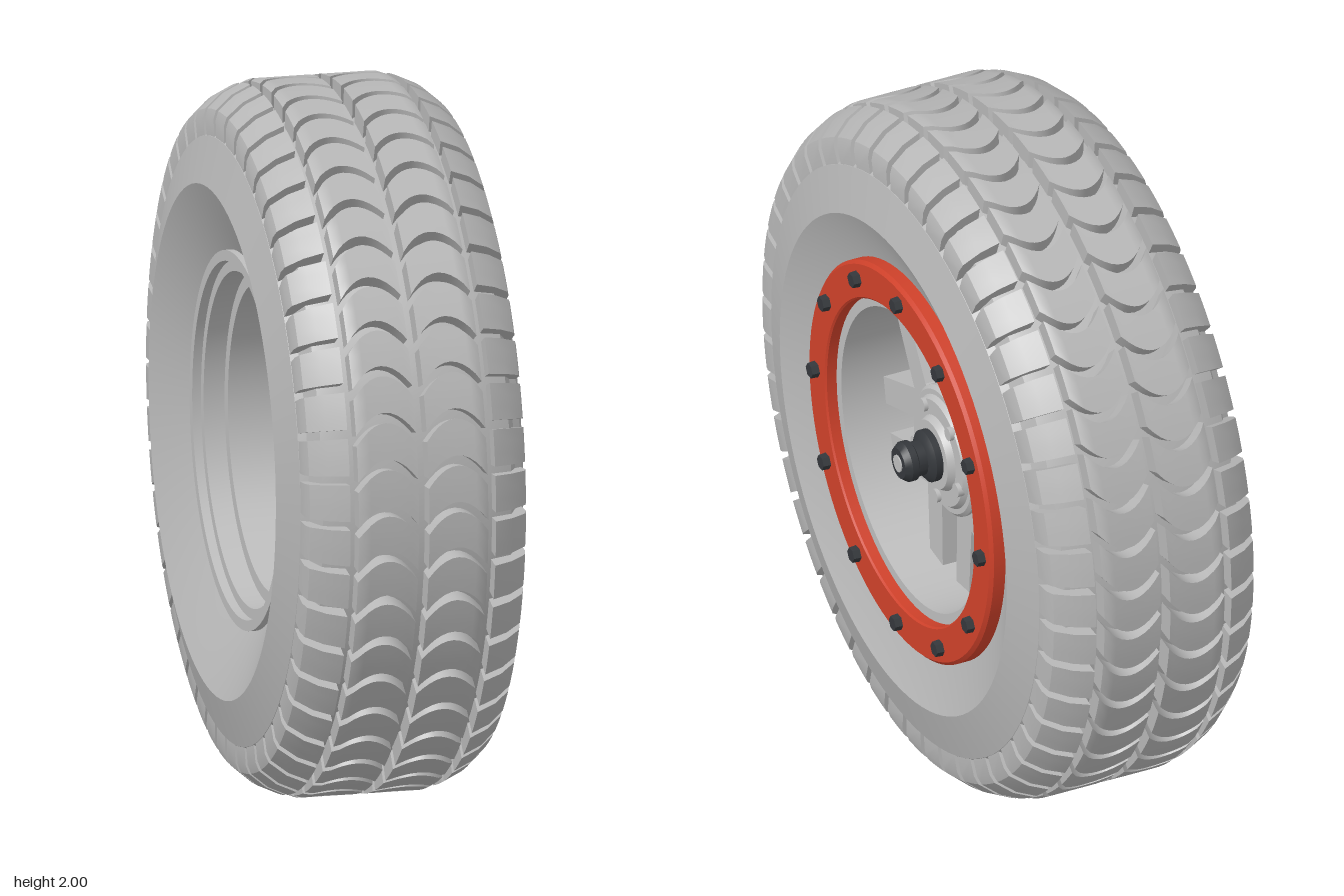
import * as THREE from 'three';
import { mergeGeometries, toCreasedNormals } from 'three/addons/utils/BufferGeometryUtils.js';

const mat = (name, color) => new THREE.MeshStandardMaterial({ name, color });

// Lathe around the x axle; profile is [radius, x] pairs, outer side running towards +x
function turned(profile, segments = 96) {
  const pts = profile.map(([r, x]) => new THREE.Vector2(r, x));
  const g = new THREE.LatheGeometry(pts, segments).rotateZ(-Math.PI / 2);
  return toCreasedNormals(g, 0.35);
}

// One tread block: cross-sections along x, each a loop from floor to outer surface and back
function treadBlock(xs, outer, floor, bend, arc) {
  const pos = [], idx = [], arcSteps = 3, n = arcSteps + 3;
  xs.forEach((x, i) => {
    const a0 = bend[i], a1 = a0 + arc;
    const loop = [[floor[i], a0]];
    for (let k = 0; k <= arcSteps; k++) loop.push([outer[i], a0 + (arc * k) / arcSteps]);
    loop.push([floor[i], a1]);
    loop.forEach(([r, a]) => pos.push(x, r * Math.sin(a), r * Math.cos(a)));
  });
  for (let i = 0; i < xs.length - 1; i++) {
    for (let k = 0; k < n; k++) {
      const p0 = i * n + k, p1 = i * n + ((k + 1) % n), q0 = p0 + n, q1 = p1 + n;
      idx.push(p0, q0, p1, p1, q0, q1);
    }
  }
  const last = (xs.length - 1) * n;
  for (let k = 1; k < n - 1; k++) {
    idx.push(0, k, k + 1, last, last + k + 1, last + k);
  }
  const g = new THREE.BufferGeometry();
  g.setAttribute('position', new THREE.Float32BufferAttribute(pos, 3));
  g.setIndex(idx);
  return toCreasedNormals(g, 0.5);
}

function around(geometry, count) {
  const list = [];
  for (let i = 0; i < count; i++) list.push(geometry.clone().rotateX((i * Math.PI * 2) / count));
  return mergeGeometries(list);
}

export function createModel() {
  const rubber = mat('tyreGrey', 0xb6b6b6);
  const metal = mat('rimGrey', 0xbdbdbd);
  const red = mat('ringRed', 0xcf412a);
  const dark = mat('boltDark', 0x34373b);

  const model = new THREE.Group();
  model.name = 'wheel';
  const wheel = new THREE.Group();
  wheel.name = 'wheelAssembly';
  wheel.position.y = 1;
  model.add(wheel);
  const add = (name, geometry, material) => {
    const m = new THREE.Mesh(geometry, material);
    m.name = name;
    wheel.add(m);
    return m;
  };

  // Tyre body: dished sidewalls and the groove floor under the tread
  add('tyreBody', turned([
    [0.49, -0.24], [0.53, -0.265], [0.72, -0.354], [0.85, -0.317], [0.865, -0.295], [0.92, -0.27],
    [0.945, -0.2], [0.945, 0.2], [0.92, 0.27], [0.865, 0.295], [0.85, 0.317], [0.72, 0.354],
    [0.57, 0.285], [0.49, 0.27], [0.49, -0.24],
  ]), rubber);

  // Tread: two ribs of crescent blocks and two rows of shoulder lugs
  const count = 48, pitch = (Math.PI * 2) / count;
  for (const side of [-1, 1]) {
    const xs = [], outer = [], floor = [], bend = [];
    for (let i = 0; i <= 10; i++) {
      const t = i / 5 - 1;
      xs.push(side * 0.1 + t * 0.085);
      outer.push(Math.abs(side * 0.1 + t * 0.085) > 0.17 ? 0.993 : 1);
      floor.push(0.93);
      bend.push(0.06 * (1 - t * t));
    }
    add(side > 0 ? 'leftCrescentTread' : 'rightCrescentTread',
      around(treadBlock(xs, outer, floor, bend, pitch * 0.78), count), rubber);

    let lug = [[0.208, 0.99, 0.92], [0.262, 0.965, 0.89], [0.308, 0.925, 0.85], [0.316, 0.9, 0.85]];
    if (side < 0) lug = lug.reverse();
    const block = treadBlock(lug.map(s => side * s[0]), lug.map(s => s[1]), lug.map(s => s[2]),
      lug.map(() => 0.02), pitch * 0.8);
    add(side > 0 ? 'leftShoulderLugs' : 'rightShoulderLugs', around(block, count), rubber);
  }

  // Rim barrel with stepped rear lip
  add('rimBarrel', turned([
    [0.53, -0.285], [0.53, -0.25], [0.492, -0.25], [0.492, 0.3], [0.44, 0.3], [0.432, -0.2],
    [0.47, -0.2], [0.47, -0.26], [0.5, -0.26], [0.5, -0.285], [0.53, -0.285],
  ]), metal);

  // Clamp ring with its bolts
  add('clampRing', turned([
    [0.47, 0.275], [0.58, 0.275], [0.58, 0.325], [0.57, 0.335], [0.475, 0.335], [0.47, 0.33], [0.47, 0.275],
  ]), red);
  const placeRing = (name, n, radius, x, start, geometry, material) => {
    for (let i = 0; i < n; i++) {
      const a = start + (i * Math.PI * 2) / n;
      add(name, geometry, material).position.set(x, radius * Math.sin(a), -radius * Math.cos(a));
    }
  };
  const bolt = new THREE.CylinderGeometry(0.022, 0.024, 0.024, 6).toNonIndexed().rotateZ(-Math.PI / 2);
  bolt.computeVertexNormals();
  placeRing('ringBolt', 12, 0.527, 0.345, Math.PI / 2, bolt, dark);

  // Five forked spokes
  const fork = new THREE.Shape([
    [0.08, -0.04], [0.185, -0.075], [0.357, -0.206], [0.397, -0.135], [0.235, 0],
    [0.397, 0.135], [0.357, 0.206], [0.185, 0.075], [0.08, 0.04],
  ].map(([u, v]) => new THREE.Vector2(u, v)));
  for (let i = 0; i < 5; i++) {
    const g = new THREE.ExtrudeGeometry(fork, { depth: 0.09, bevelEnabled: false });
    g.rotateZ(Math.PI / 2 + (i * Math.PI * 2) / 5).rotateY(Math.PI / 2).translate(0.09, 0, 0);
    add('spoke', g, metal);
  }

  // Hub flange, lug nuts and axle cap
  add('hubFlange', turned([
    [0, 0.08], [0.13, 0.08], [0.19, 0.13], [0.19, 0.19], [0.18, 0.2], [0.165, 0.2],
    [0.155, 0.215], [0.11, 0.215], [0.1, 0.235], [0, 0.235],
  ], 48), metal);
  const nut = new THREE.CylinderGeometry(0.02, 0.02, 0.03, 16).rotateZ(-Math.PI / 2);
  placeRing('lugNut', 5, 0.14, 0.212, -Math.PI / 2, nut, metal);
  add('axleCap', turned([
    [0, 0.22], [0.075, 0.22], [0.075, 0.255], [0.062, 0.265], [0.05, 0.27], [0.05, 0.295],
    [0.058, 0.3], [0.058, 0.32], [0.045, 0.338], [0.025, 0.338], [0, 0.338],
  ], 32), dark);
  add('axleEnd', new THREE.CylinderGeometry(0.025, 0.025, 0.01, 24).rotateZ(-Math.PI / 2), metal)
    .position.x = 0.337;

  return model;
}
